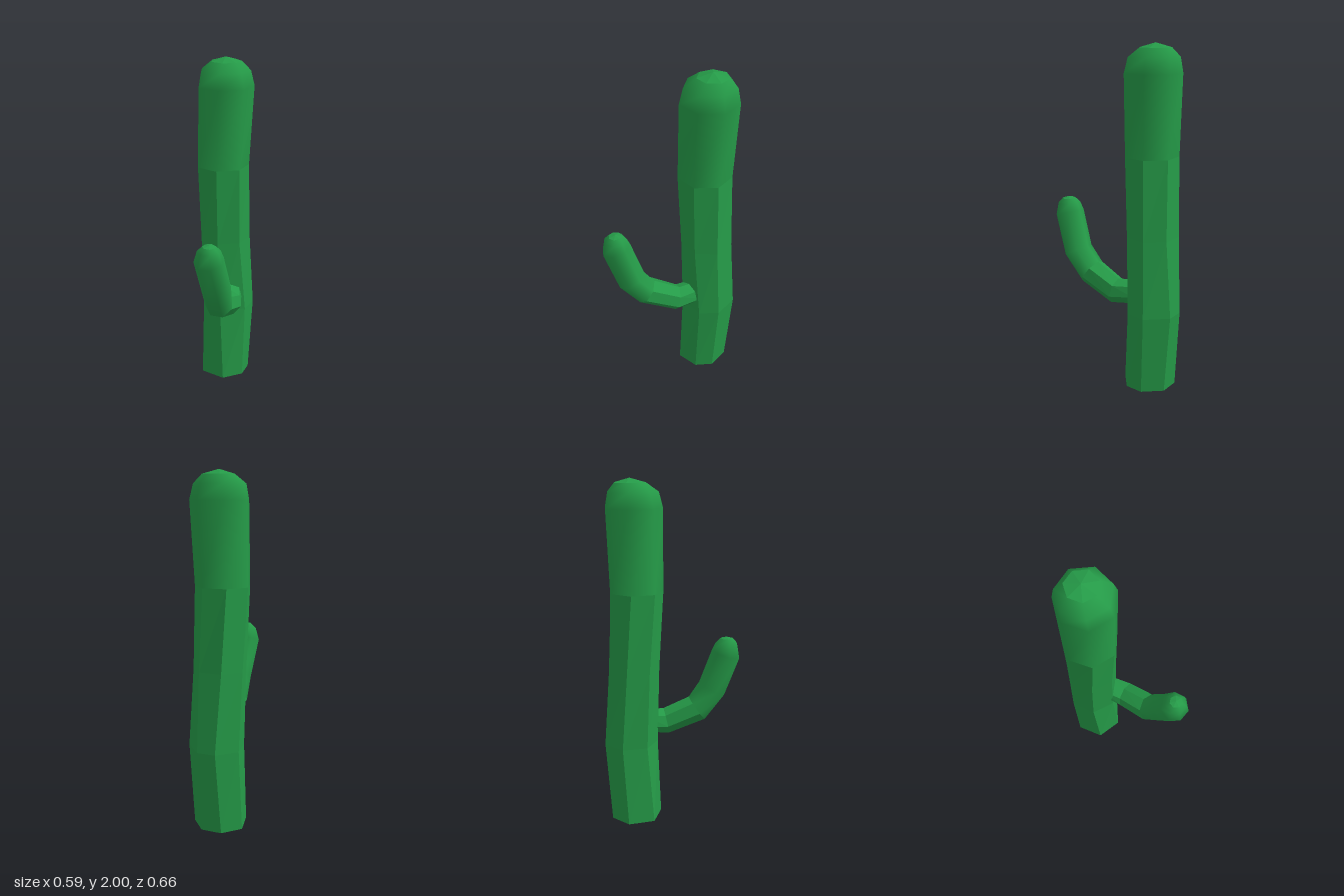
import * as THREE from 'three';

const SIDES = 7;
const STEP = 360 / SIDES;
const regular = (start) => Array.from({ length: SIDES }, (_, k) => start + k * STEP);

// One seven-sided ring around a centre; u and v span its plane
function ring(center, r, angles, u = [1, 0, 0], v = [0, 0, 1]) {
  const c = new THREE.Vector3(...center);
  const U = new THREE.Vector3(...u), V = new THREE.Vector3(...v);
  return angles.map((deg) => {
    const a = THREE.MathUtils.degToRad(deg);
    return c.clone().addScaledVector(U, r * Math.sin(a)).addScaledVector(V, r * Math.cos(a));
  });
}

// Skin between rings, with an optional point at either end
function loft(name, material, rings, { flat = true, apex = null, base = null } = {}) {
  const points = rings.flat(), index = [];
  const last = (rings.length - 1) * SIDES;
  for (let i = 0; i < rings.length - 1; i++) {
    for (let j = 0; j < SIDES; j++) {
      const a = i * SIDES + j, b = i * SIDES + (j + 1) % SIDES;
      index.push(a, b, b + SIDES, a, b + SIDES, a + SIDES);
    }
  }
  if (apex) {
    const tip = points.length;
    points.push(new THREE.Vector3(...apex));
    for (let j = 0; j < SIDES; j++) index.push(last + j, last + (j + 1) % SIDES, tip);
  }
  if (base) {
    const foot = points.length;
    points.push(new THREE.Vector3(...base));
    for (let j = 0; j < SIDES; j++) index.push((j + 1) % SIDES, j, foot);
  }
  let geometry = new THREE.BufferGeometry().setFromPoints(points);
  geometry.setIndex(index);
  if (flat) geometry = geometry.toNonIndexed();
  geometry.computeVertexNormals();
  const mesh = new THREE.Mesh(geometry, material);
  mesh.name = name;
  return mesh;
}

export function createModel() {
  const green = new THREE.MeshStandardMaterial({ color: 0x259b48 });
  green.name = 'cactusGreen';
  const cactus = new THREE.Group();
  cactus.name = 'cactus';

  // Trunk: faceted below, smooth above, faceted crown
  const trunk = new THREE.Group();
  trunk.name = 'trunk';
  const t = [
    ring([0.118, 0, -0.175], 0.155, [19, 60, 112, 158, 208, 268, 328]),
    ring([0.148, 0.47, -0.185], 0.16, [13, 57, 116, 155, 208, 262, 314]),
    ring([0.125, 0.92, -0.182], 0.152, regular(6)),
    ring([0.103, 1.38, -0.175], 0.157, regular(10)),
    ring([0.12, 1.84, -0.172], 0.166, regular(10)),
    ring([0.12, 1.925, -0.176], 0.147, regular(9)),
    ring([0.132, 1.975, -0.183], 0.09, regular(8)),
  ];
  trunk.add(
    loft('lowerTrunk', green, t.slice(0, 4), { base: [0.118, 0, -0.175] }),
    loft('upperTrunk', green, t.slice(3), { flat: false }),
    loft('trunkCrown', green, t.slice(6), { apex: [0.13, 2, -0.185] }),
  );

  // Arm: rings square to a path that leaves the trunk and bends upward
  const arm = new THREE.Group();
  arm.name = 'arm';
  const path = [
    [0.12, 0.58, -0.1, 0.07],
    [0.045, 0.57, 0.015, 0.078],
    [-0.09, 0.65, 0.14, 0.084],
    [-0.145, 0.77, 0.215, 0.086],
    [-0.215, 0.99, 0.255, 0.086],
    [-0.215, 1.05, 0.257, 0.066],
    [-0.215, 1.078, 0.258, 0.038],
  ];
  const side = new THREE.Vector3(0.66, 0, 0.75).normalize();
  const a = path.map(([x, y, z, r], i) => {
    const p = path[Math.max(i - 1, 0)], n = path[Math.min(i + 1, path.length - 1)];
    const dir = new THREE.Vector3(n[0] - p[0], n[1] - p[1], n[2] - p[2]).normalize();
    const v = side.clone().cross(dir).normalize();
    const u = dir.cross(v);
    return ring([x, y, z], r, regular(STEP / 2), u.toArray(), v.toArray());
  });
  arm.add(
    loft('armBase', green, a.slice(0, 3), { base: [0.12, 0.58, -0.1] }),
    loft('upperArm', green, a.slice(2), { flat: false }),
    loft('armTip', green, a.slice(6), { apex: [-0.213, 1.088, 0.258] }),
  );

  cactus.add(trunk, arm);
  return cactus;
}
